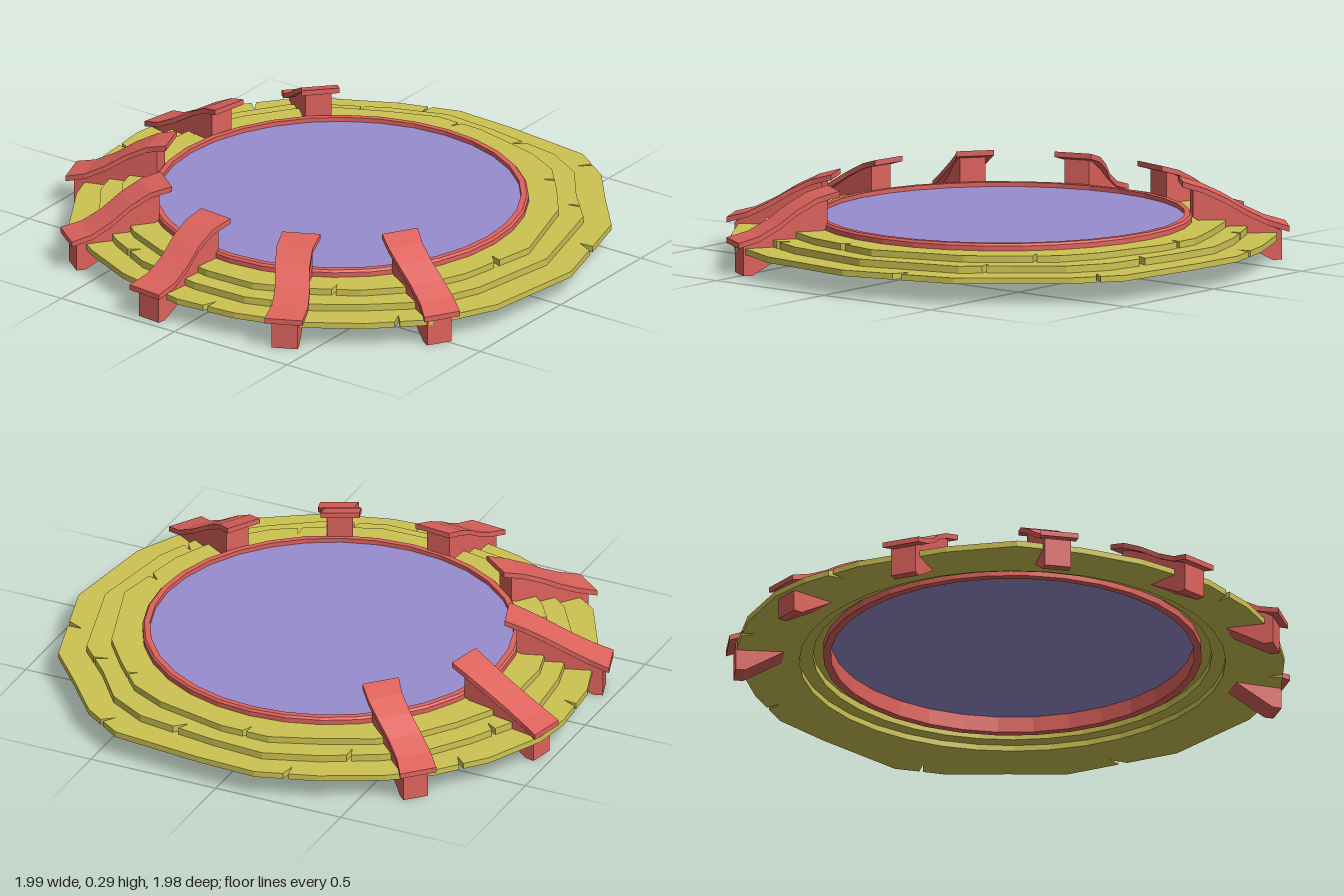
import * as THREE from 'three';

const CX = 0.02, CZ = 0.005; // basin centre
const stone = new THREE.MeshStandardMaterial({ color: 0xcdc352, flatShading: true });
const wood = new THREE.MeshStandardMaterial({ color: 0xdd625c, flatShading: true });
const fluid = new THREE.MeshStandardMaterial({ color: 0x968cce, side: THREE.DoubleSide });

// irregular outer edge of the lowest slab, as x, z
const EDGE = [
  [0.99, -0.15], [0.92, -0.37], [0.81, -0.59], [0.70, -0.73], [0.53, -0.87], [0.31, -0.97],
  [0.16, -0.99], [-0.08, -0.97], [-0.40, -0.86], [-0.63, -0.73], [-0.77, -0.53], [-0.87, -0.32],
  [-0.94, -0.03], [-0.92, 0.21], [-0.85, 0.45], [-0.72, 0.65], [-0.56, 0.82], [-0.31, 0.94],
  [0.08, 0.99], [0.50, 0.87], [0.66, 0.73], [0.83, 0.59], [0.94, 0.43], [0.98, 0.08],
];

// struts: outer x, z then inner x, z
const STRUTS = [
  [-0.99, -0.14, -0.60, -0.10], [-0.76, -0.65, -0.46, -0.42], [-0.28, -0.97, -0.16, -0.61],
  [0.28, -0.98, 0.20, -0.61], [0.77, -0.70, 0.50, -0.42], [-0.91, 0.42, -0.56, 0.25],
  [-0.54, 0.86, -0.34, 0.53],
];

function mesh(name, geometry, material) {
  const m = new THREE.Mesh(geometry, material);
  m.name = name;
  return m;
}

// one flat stone ring with a chipped edge; spread 1 is the full outline, 0 the basin rim
function slab(name, spread, inner, y0, y1, notchStart) {
  const pts = EDGE.map(([x, z], i) => {
    const a = Math.atan2(z - CZ, x - CX);
    const r = Math.hypot(x - CX, z - CZ);
    const chip = spread < 1 ? 0.008 * Math.sin(i * 2.4 + notchStart) : 0;
    const rr = 0.685 + (r - 0.685) * spread + chip;
    return new THREE.Vector2(CX + rr * Math.cos(a), -(CZ + rr * Math.sin(a)));
  });
  const outline = [];
  const centre = new THREE.Vector2(CX, -CZ);
  pts.forEach((p, i) => {
    const q = pts[(i + 1) % pts.length];
    outline.push(p);
    // a narrow wedge crack in every third side
    if (i % 3 === notchStart) {
      outline.push(p.clone().lerp(q, 0.45));
      outline.push(p.clone().lerp(q, 0.56).lerp(centre, 0.055));
      outline.push(p.clone().lerp(q, 0.53));
    }
  });
  const shape = new THREE.Shape(outline);
  shape.holes.push(new THREE.Path().absarc(CX, -CZ, inner, 0, Math.PI * 2, true));
  const geo = new THREE.ExtrudeGeometry(shape, { depth: y1 - y0, bevelEnabled: false, curveSegments: 18 });
  geo.rotateX(-Math.PI / 2).translate(0, y0, 0);
  return mesh(name, geo, stone);
}

// sloping beam with a warped plank on top
function strut([ox, oz, ix, iz], index) {
  const g = new THREE.Group();
  g.name = 'strut' + (index + 1);
  const len = Math.hypot(ix - ox, iz - oz);

  const side = new THREE.Shape([
    new THREE.Vector2(0.025, 0), new THREE.Vector2(0.06, 0),
    new THREE.Vector2(len - 0.04, 0.16), new THREE.Vector2(len - 0.04, 0.275),
    new THREE.Vector2(0.025, 0.105),
  ]);
  const beam = new THREE.ExtrudeGeometry(side, { depth: 0.095, bevelEnabled: false });
  beam.translate(0, 0, -0.0475);
  g.add(mesh('beam', beam, wood));

  const plank = new THREE.BoxGeometry(len, 0.02, 0.14, 5, 1, 1);
  const p = plank.attributes.position;
  for (let i = 0; i < p.count; i++) {
    const s = p.getX(i) / len + 0.5;
    const rise = 0.115 + 0.17 * s - 0.012 * Math.sin(s * Math.PI * 2);
    const waist = 1 - 0.1 * Math.sin(s * Math.PI);
    p.setXYZ(i, s * len, p.getY(i) + rise, p.getZ(i) * waist + 0.012 * Math.sin(s * Math.PI * 2));
  }
  plank.computeVertexNormals();
  g.add(mesh('plank', plank, wood));

  g.position.set(ox, 0, oz);
  g.rotation.y = Math.atan2(-(iz - oz), ix - ox);
  return g;
}

export function createModel() {
  const model = new THREE.Group();
  model.name = 'stoneBasin';

  // stacked slabs
  model.add(slab('lowerSlab', 1, 0.77, 0.078, 0.1, 0));
  model.add(slab('middleSlab', 0.65, 0.72, 0.1, 0.126, 1));
  model.add(slab('upperSlab', 0.38, 0.67, 0.126, 0.15, 2));

  // rim, a closed square-section ring
  const section = [[0.657, 0.1], [0.685, 0.1], [0.685, 0.168], [0.678, 0.176], [0.657, 0.176], [0.657, 0.1]];
  const rim = mesh('rim', new THREE.LatheGeometry(section.map(([r, y]) => new THREE.Vector2(r, y)), 32), wood);
  rim.position.set(CX, 0, CZ);
  model.add(rim);

  // fluid surface
  const surface = mesh('fluidSurface', new THREE.CircleGeometry(0.665, 32), fluid);
  surface.rotation.x = -Math.PI / 2;
  surface.position.set(CX, 0.16, CZ);
  model.add(surface);

  STRUTS.forEach((s, i) => model.add(strut(s, i)));
  return model;
}
